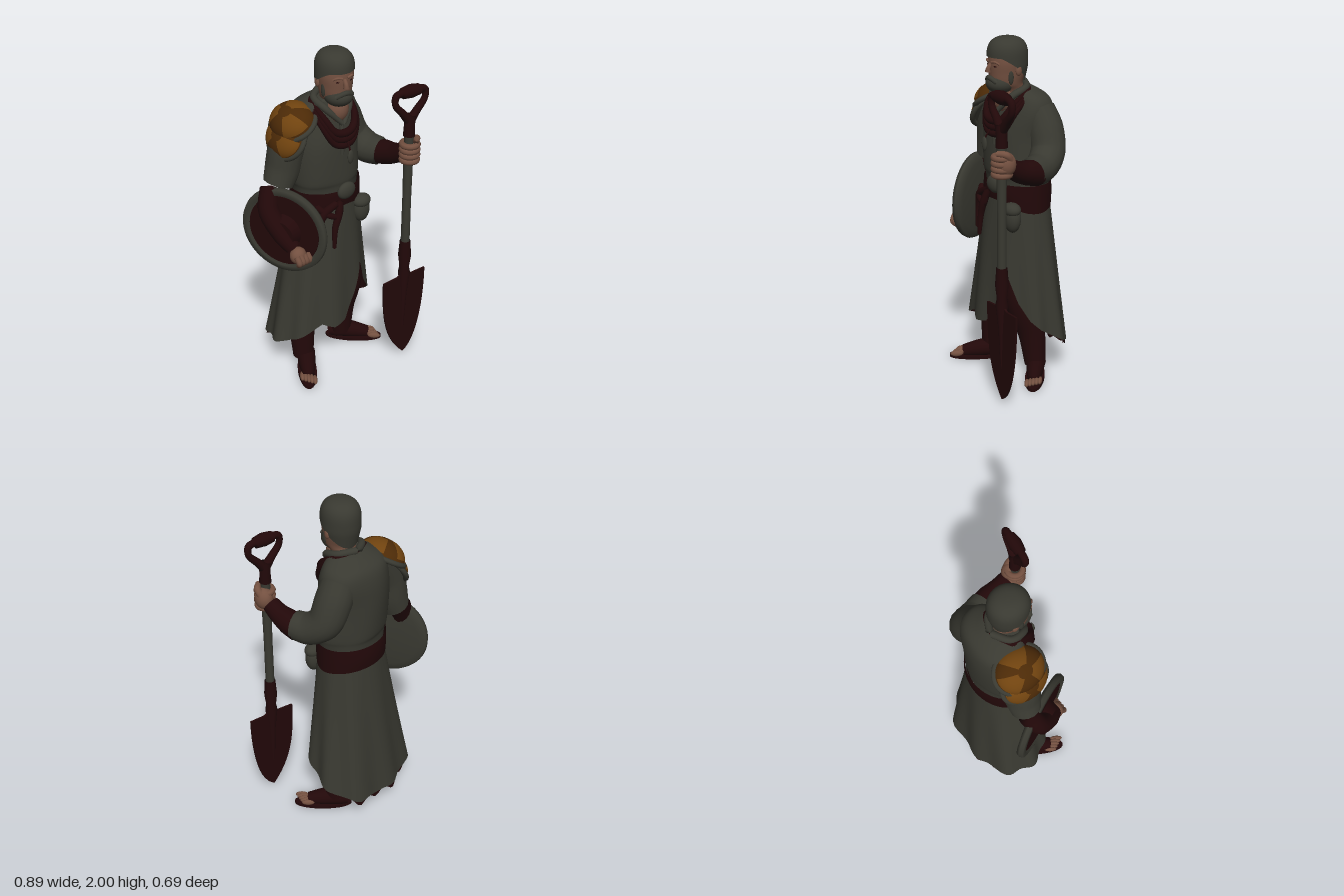
import * as THREE from 'three';

const mat = (name, color, side = THREE.FrontSide) => {
  const m = new THREE.MeshStandardMaterial({ color, side });
  m.name = name;
  return m;
};
const V = (x, y, z) => new THREE.Vector3(x, y, z);

export function createModel() {
  const root = new THREE.Group();
  root.name = 'wanderer';
  const grey = mat('greyCloth', 0x393931, THREE.DoubleSide);
  const red = mat('darkRedLeather', 0x220809, THREE.DoubleSide);
  const skin = mat('skin', 0x735040);
  const orange = mat('orangePaint', 0x70430f);
  const brown = mat('brownPaint', 0x4c2a07);

  const add = (name, geo, m, parent = root) => {
    const mesh = new THREE.Mesh(geo, m);
    mesh.name = name;
    parent.add(mesh);
    return mesh;
  };
  const group = (name, parent = root) => {
    const g = new THREE.Group();
    g.name = name;
    parent.add(g);
    return g;
  };
  const ball = (name, m, p, s, parent = root) => {
    const b = add(name, new THREE.SphereGeometry(1, 24, 16), m, parent);
    b.position.set(...p);
    b.scale.set(...s);
    return b;
  };

  // Tube through [x, y, z, radius] points, closed off at both ends
  const limb = (name, pts, m, parent = root, closed = false) => {
    const curve = new THREE.CatmullRomCurve3(pts.map(p => V(p[0], p[1], p[2])), closed);
    const seg = pts.length * 8, n = 16;
    const geo = new THREE.TubeGeometry(curve, seg, 1, n, closed);
    const pos = geo.attributes.position, v = V(0, 0, 0);
    const span = closed ? pts.length : pts.length - 1;
    for (let i = 0; i <= seg; i++) {
      const u = i / seg, c = curve.getPointAt(u), f = curve.getUtoTmapping(u) * span;
      const k = Math.min(Math.floor(f), span - 1);
      const end = !closed && (i === 0 || i === seg);
      const r = end ? 0 : THREE.MathUtils.lerp(pts[k][3], pts[(k + 1) % pts.length][3], f - k);
      for (let j = 0; j <= n; j++) {
        const q = i * (n + 1) + j;
        v.fromBufferAttribute(pos, q).sub(c).multiplyScalar(r).add(c);
        pos.setXYZ(q, v.x, v.y, v.z);
      }
    }
    return add(name, geo, m, parent);
  };

  // Surface from closed loops, bottom to top; f(angle, t) gives a point, angle 90 degrees is the front
  const loft = (n, rows, f) => {
    const p = [], idx = [];
    for (let i = 0; i <= rows; i++) for (let j = 0; j < n; j++) p.push(...f(j / n * Math.PI * 2, i / rows));
    for (let i = 0; i < rows; i++) for (let j = 0; j < n; j++) {
      const a = i * n + j, b = i * n + (j + 1) % n;
      idx.push(a, a + n, b, b, a + n, b + n);
    }
    const g = new THREE.BufferGeometry();
    g.setAttribute('position', new THREE.Float32BufferAttribute(p, 3));
    g.setIndex(idx);
    g.computeVertexNormals();
    return g;
  };
  // Rings of [y, cx, cz, rx, rz]
  const rings = (list, n = 40, ripple = 0) => {
    const c = new THREE.CatmullRomCurve3(list.map(r => V(r[1], r[0], r[2])), false, 'catmullrom');
    const s = new THREE.CatmullRomCurve3(list.map(r => V(r[3], 0, r[4])), false, 'catmullrom');
    return loft(n, list.length * 5, (a, t) => {
      const o = c.getPoint(t), r = s.getPoint(t), w = 1 + ripple * Math.sin(5 * a + 9 * t);
      return [o.x + r.x * w * Math.cos(a), o.y, o.z + r.z * w * Math.sin(a)];
    });
  };

  // Tunic
  add('tunic', rings([
    [1.08, 0, -0.08, 0.19, 0.15], [1.2, 0, -0.078, 0.207, 0.155], [1.26, -0.005, -0.08, 0.217, 0.165],
    [1.45, -0.012, -0.088, 0.218, 0.166], [1.58, 0, -0.098, 0.22, 0.152], [1.66, 0, -0.095, 0.194, 0.132],
    [1.705, 0, -0.07, 0.13, 0.1], [1.725, 0, -0.05, 0.08, 0.075], [1.725, 0, -0.05, 0.01, 0.01]], 40, 0.015), grey);
  for (const s of [-1, 1]) {
    limb('collar', [[0, 1.735, -0.125, 0.02], [s * 0.09, 1.722, -0.06, 0.02], [s * 0.083, 1.685, 0.03, 0.02], [0, 1.585, 0.083, 0.012]], grey);
  }
  limb('tunicPlacket', [[0, 1.6, 0.06, 0.012], [-0.005, 1.5, 0.078, 0.014], [-0.01, 1.4, 0.08, 0.01]], grey);
  ball('pendant', grey, [-0.01, 1.42, 0.15], [0.02, 0.04, 0.01]);
  limb('pendantCord', [[0, 1.5, 0.115, 0.005], [-0.01, 1.45, 0.148, 0.005]], red);
  // Neck scarf in three loops
  for (let i = 0; i < 3; i++) {
    const d = i * 0.035, w = 0.103 + i * 0.008;
    limb('scarf', [[0, 1.715, -0.12, 0.012], [w, 1.71 - d * 0.2, -0.06, 0.013], [w, 1.635 - d * 0.6, 0.045, 0.017],
      [0.062, 1.56 - d, 0.088, 0.021], [0, 1.545 - d, 0.1, 0.023], [-0.062, 1.56 - d, 0.088, 0.021],
      [-w, 1.635 - d * 0.6, 0.045, 0.017], [-w, 1.71 - d * 0.2, -0.06, 0.013]], red, root, true);
  }

  // Long skirt with an open front slit and a dark lining, ragged at the back; hem heights every 15 degrees
  const hem = [0.3, 0.34, 0.4, 0.5, 0.66, 0.48, 0.34, 0.32, 0.35, 0.31, 0.27, 0.24,
    0.22, 0.21, 0.2, 0.19, 0.18, 0.16, 0.155, 0.155, 0.16, 0.19, 0.22, 0.26];
  const skirt = (scale, drop) => loft(96, 24, (a, t) => {
    const f = a / (Math.PI * 2) * 24, i = Math.floor(f) % 24, back = Math.max(0, -Math.sin(a));
    const low = THREE.MathUtils.lerp(hem[i], hem[(i + 1) % 24], f - Math.floor(f)) - drop * back * (1 + Math.sin(17 * a));
    const y = THREE.MathUtils.lerp(low, 1.12, t), k = (1.12 - y) / 0.9;
    const corner = back > 0 ? 0.07 * Math.sin(2 * a) ** 2 : 0;
    const w = scale * (1 + k * (corner + 0.045 * Math.sin(9 * a + 3.4 + k)));
    return [-0.03 * k + (0.197 + 0.135 * k) * w * Math.cos(a), y, -0.075 - 0.015 * k + (0.165 + 0.07 * k) * w * Math.sin(a)];
  });
  add('skirt', skirt(1, 0.004), grey);
  add('skirtLining', skirt(0.97, 0.022), red);

  // Belt, buckle, pouch and hanging straps
  add('belt', loft(48, 6, (a, t) => {
    const s = Math.sin(a), low = 1.025 + 0.025 * Math.max(0, -s) + 0.065 * Math.max(0, s) ** 3;
    return [0.214 * Math.cos(a), THREE.MathUtils.lerp(low, 1.19, t), -0.078 + (0.17 + 0.006 * Math.sin(t * Math.PI)) * s];
  }), red);
  ball('buckle', grey, [0.01, 1.18, 0.095], [0.062, 0.05, 0.028]);
  ball('pouch', grey, [0.14, 1.01, 0.075], [0.055, 0.085, 0.045]);
  ball('pouchFlap', grey, [0.14, 1.06, 0.078], [0.058, 0.04, 0.047]);
  limb('beltStrap', [[-0.04, 1.14, 0.1, 0.02], [-0.065, 1.06, 0.115, 0.022], [-0.09, 0.98, 0.115, 0.018], [-0.1, 0.85, 0.12, 0.01]], red);
  limb('beltStrap', [[-0.06, 1.13, 0.1, 0.02], [-0.14, 1.08, 0.08, 0.026], [-0.165, 1, 0.07, 0.02], [-0.16, 0.87, 0.085, 0.012]], red);
  limb('beltStrap', [[-0.17, 1.12, 0.04, 0.02], [-0.12, 1.07, 0.1, 0.018], [-0.06, 1.05, 0.115, 0.014], [-0.035, 1.1, 0.11, 0.01]], red);

  // Left arm, reaching forward to the shovel
  limb('leftSleeve', [[0.12, 1.6, -0.11, 0.1], [0.18, 1.5, -0.12, 0.104], [0.23, 1.38, -0.1, 0.098], [0.268, 1.32, -0.02, 0.09], [0.295, 1.315, 0.07, 0.08]], grey);
  limb('leftBracer', [[0.295, 1.3, 0.02, 0.07], [0.302, 1.32, 0.1, 0.07], [0.306, 1.34, 0.17, 0.058], [0.31, 1.38, 0.24, 0.048]], red);
  ball('leftPalm', skin, [0.325, 1.405, 0.27], [0.05, 0.065, 0.055]);
  for (let i = 0; i < 4; i++) {
    const f = add('leftFinger', new THREE.TorusGeometry(0.043, 0.018, 8, 20), skin);
    f.rotation.x = Math.PI / 2;
    f.position.set(0.305, 1.35 + i * 0.031, 0.283);
  }
  limb('leftThumb', [[0.35, 1.43, 0.26, 0.02], [0.35, 1.465, 0.29, 0.02], [0.31, 1.47, 0.325, 0.016]], skin);

  // Right arm, strapped to the shield
  limb('rightSleeve', [[-0.15, 1.61, -0.1, 0.1], [-0.235, 1.47, -0.11, 0.105], [-0.265, 1.34, -0.12, 0.1], [-0.3, 1.24, -0.125, 0.084]], grey);
  limb('rightBracer', [[-0.335, 1.24, -0.14, 0.06], [-0.385, 1.12, -0.1, 0.06], [-0.368, 1, -0.01, 0.056], [-0.338, 0.92, 0.055, 0.043]], red);
  ball('rightHand', skin, [-0.328, 0.885, 0.075], [0.048, 0.05, 0.045]);
  for (let i = 0; i < 4; i++) {
    limb('rightFinger', [[-0.358 + i * 0.024, 0.9, 0.1, 0.017], [-0.353 + i * 0.024, 0.86, 0.118, 0.017], [-0.338 + i * 0.02, 0.83, 0.09, 0.014]], skin);
  }

  // Round shield with a thick rim
  const shield = group('shield');
  shield.position.set(-0.322, 1, -0.04);
  shield.quaternion.setFromUnitVectors(V(0, 1, 0), V(-0.916, 0, 0.4).normalize());
  add('shieldBody', new THREE.LatheGeometry([[0, -0.032], [0.12, -0.029], [0.21, -0.02], [0.252, -0.012], [0.26, 0.005],
    [0.254, 0.026], [0.222, 0.03], [0.212, 0.012], [0, 0.008]].map(p => new THREE.Vector2(...p)), 56), grey, shield);
  add('shieldLining', new THREE.CylinderGeometry(0.213, 0.213, 0.008, 48), red, shield).position.y = 0.017;
  add('armPad', new THREE.CylinderGeometry(0.085, 0.11, 0.06, 32), red, shield).position.y = 0.045;

  // Layered shoulder guard with worn paint
  const guard = (name, p, axis, r, h) => {
    const g = group(name);
    g.position.set(...p);
    g.quaternion.setFromUnitVectors(V(0, 1, 0), V(...axis).normalize());
    const shell = (part, m, s, from, len, top, tall) => {
      add(part, new THREE.SphereGeometry(1, 32, 16, from, len, top, tall), m, g).scale.set(r * s, h * s, r * 1.15 * s);
    };
    shell('plate', brown, 1, 0, Math.PI * 2, 0, Math.PI / 2);
    for (const a of [0.4, 2.5, 4.4]) shell('paintPatch', orange, 1.015, a, 1.25, 0.3, 1);
    const rim = add('plateRim', new THREE.TorusGeometry(r, 0.015, 10, 40), grey, g);
    rim.rotation.x = Math.PI / 2;
    rim.scale.y = 1.15;
    add('plateBacking', new THREE.CylinderGeometry(r, r, 0.008, 40), grey, g).scale.z = 1.15;
  };
  guard('upperShoulderGuard', [-0.205, 1.6, -0.1], [-0.55, 0.83, 0], 0.122, 0.1);
  guard('lowerShoulderGuard', [-0.252, 1.525, -0.1], [-0.86, 0.5, 0], 0.118, 0.078);

  // Head, turned a little to its right
  const head = group('head');
  head.rotation.y = -0.17;
  head.position.x = 0.005;
  add('face', rings([[1.6, 0, -0.03, 0.06, 0.07], [1.7, 0, -0.025, 0.066, 0.075], [1.75, 0, 0.005, 0.083, 0.09],
    [1.81, 0, 0, 0.094, 0.106], [1.88, 0, 0, 0.1, 0.108], [1.95, 0, 0, 0.08, 0.09], [1.98, 0, 0, 0.01, 0.01]], 32), skin, head);
  ball('throat', skin, [0, 1.665, 0.02], [0.066, 0.085, 0.07], head);
  add('hair', loft(40, 16, (a, t) => {
    const front = Math.sin(a), low = front > 0 ? 1.845 + 0.05 * Math.min(1, front * 1.5) : 1.845 + 0.1 * front;
    const y = low + (2 - low) * Math.sin(t * Math.PI / 2);
    const k = Math.pow(Math.max(0, 1 - Math.pow(Math.max(0, (y - 1.88) / 0.12), 3)), 1 / 2.6);
    const taper = 1 - Math.max(0, 1.84 - y) * 1.8;
    return [0.107 * k * taper * Math.cos(a), y, 0.115 * k * taper * front];
  }), grey, head);
  ball('beard', grey, [0, 1.748, 0.04], [0.08, 0.06, 0.085], head);
  limb('moustache', [[-0.055, 1.76, 0.093, 0.014], [0, 1.783, 0.112, 0.014], [0.055, 1.76, 0.093, 0.014]], grey, head);
  limb('nose', [[0, 1.862, 0.1, 0.01], [0, 1.835, 0.116, 0.013], [0, 1.812, 0.12, 0.018]], skin, head);
  for (const s of [-1, 1]) {
    ball('ear', skin, [s * 0.098, 1.825, -0.015], [0.012, 0.028, 0.018], head);
    ball('sideburn', grey, [s * 0.085, 1.795, 0.025], [0.011, 0.045, 0.016], head);
    ball('eye', red, [s * 0.037, 1.848, 0.097], [0.012, 0.005, 0.006], head);
    limb('brow', [[s * 0.015, 1.868, 0.108, 0.007], [s * 0.045, 1.873, 0.1, 0.007], [s * 0.065, 1.862, 0.085, 0.005]], skin, head);
  }

  // Legs and open-toed shoes
  limb('rightLeg', [[-0.1, 0.8, -0.08, 0.09], [-0.15, 0.5, -0.05, 0.085], [-0.195, 0.28, -0.06, 0.078], [-0.2, 0.04, -0.05, 0.06]], red);
  limb('leftLeg', [[0.08, 0.8, -0.05, 0.1], [0.105, 0.5, -0.02, 0.1], [0.13, 0.26, -0.08, 0.08], [0.145, 0.04, -0.1, 0.06]], red);
  const foot = (name, x, z, yaw) => {
    const g = group(name), s = Math.sign(x);
    g.position.set(x, 0, z);
    g.rotation.y = yaw;
    limb('shoe', [[0, 0.05, -0.085, 0.042], [0, 0.06, -0.03, 0.057], [0, 0.052, 0.07, 0.05], [0, 0.036, 0.17, 0.034]], red, g);
    const sole = add('sole', new THREE.CylinderGeometry(1, 1, 0.018, 32), red, g);
    sole.scale.set(0.056, 1, 0.172);
    sole.position.set(0, 0.009, 0.075);
    for (let i = 0; i < 5; i++) {
      ball('toe', skin, [s * (i - 2) * 0.018, 0.034, 0.205 - i * 0.01], [0.014, 0.018, 0.038], g);
    }
  };
  foot('rightFoot', -0.195, -0.03, -0.62);
  foot('leftFoot', 0.15, -0.1, 0.78);

  // Shovel
  const shovel = group('shovel');
  shovel.position.set(0.3, 0, 0.28);
  shovel.rotation.y = -0.13;
  const outline = new THREE.Shape();
  outline.moveTo(-0.147, 0.565);
  outline.bezierCurveTo(-0.15, 0.3, -0.12, 0.15, 0.005, 0.02);
  outline.bezierCurveTo(0.1, 0.07, 0.15, 0.3, 0.148, 0.58);
  for (const p of [[0.05, 0.575], [0, 0.61], [-0.05, 0.575]]) outline.lineTo(...p);
  const blade = new THREE.ExtrudeGeometry(outline, { depth: 0.012, bevelEnabled: false });
  add('blade', blade.translate(0, 0, -0.006), red, shovel);
  limb('bladeRidge', [[0, 0.2, 0, 0.008], [0, 0.45, 0, 0.02], [0, 0.6, 0, 0.036], [0, 0.64, 0, 0.028], [0, 0.72, 0, 0.038], [0, 0.83, 0, 0.03]], red, shovel);
  limb('shaft', [[0, 0.78, 0, 0.026], [0, 1.1, 0, 0.025], [0, 1.3, 0, 0.027], [0, 1.53, 0, 0.026]], grey, shovel);
  limb('handleSocket', [[0, 1.49, 0, 0.034], [0, 1.56, 0, 0.03], [0, 1.62, 0, 0.036]], red, shovel);
  for (const s of [-1, 1]) {
    limb('handleFork', [[0, 1.58, 0, 0.028], [s * 0.045, 1.635, 0, 0.022], [s * 0.098, 1.7, 0, 0.018], [s * 0.095, 1.75, 0, 0.02], [s * 0.04, 1.765, 0, 0.02]], red, shovel);
  }
  limb('grip', [[-0.06, 1.758, 0, 0.03], [0, 1.76, 0, 0.038], [0.06, 1.758, 0, 0.03]], red, shovel);

  return root;
}
